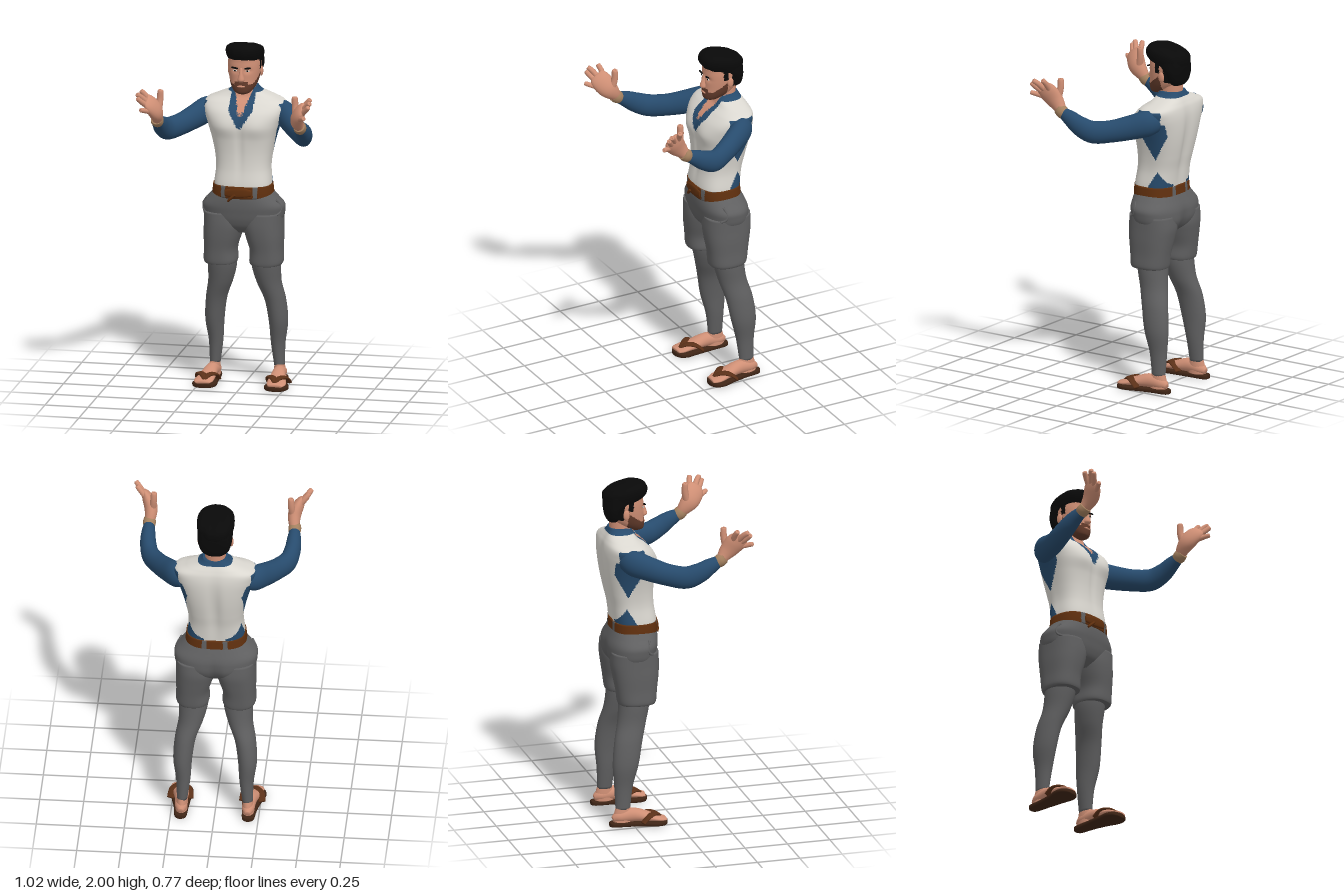
import * as THREE from 'three';

const mat = (name, color) => Object.assign(new THREE.MeshStandardMaterial({ color }), { name });

// Catmull-Rom sample of a list of number rows, t in 0..1
function sampleRows(rows, t) {
  const last = rows.length - 1;
  const i = Math.min(Math.floor(t * last), last - 1), u = t * last - i;
  const row = k => rows[Math.max(0, Math.min(last, k))];
  return row(i).map((b, k) => {
    const a = row(i - 1)[k], c = row(i + 1)[k], d = row(i + 2)[k];
    return b + 0.5 * u * (c - a + u * (2 * a - 5 * b + 4 * c - d + u * (3 * (b - c) + d - a)));
  });
}

// Skin over cross-sections [x, y, z, radiusA, radiusB].
// Without `up` the sections lie flat and the rows must rise in y.
// power: squareness; warp(v): moves points; paint(x, y, z): material index per face
function loft(rows, { n = 24, m = 24, up = null, power = 2, warp = null, paint = null } = {}) {
  const pos = [], tris = [], A = new THREE.Vector3(), B = new THREE.Vector3(), T = new THREE.Vector3();
  const v = new THREE.Vector3();
  const bend = c => Math.sign(c) * Math.abs(c) ** (2 / power);
  for (let i = 0; i <= m; i++) {
    const s = sampleRows(rows, i / m);
    const p = sampleRows(rows, Math.max(0, i / m - 0.01)), q = sampleRows(rows, Math.min(1, i / m + 0.01));
    T.set(q[0] - p[0], q[1] - p[1], q[2] - p[2]).normalize();
    if (up) { A.set(...up).cross(T).normalize(); B.crossVectors(T, A); }
    else { A.set(1, 0, 0); B.set(0, 0, -1); }
    for (let j = 0; j < n; j++) {
      const a = j / n * Math.PI * 2;
      v.set(s[0], s[1], s[2]).addScaledVector(A, s[3] * bend(Math.cos(a))).addScaledVector(B, s[4] * bend(Math.sin(a)));
      if (warp) warp(v);
      pos.push(v.x, v.y, v.z);
    }
  }
  const end = (m + 1) * n;
  pos.push(...rows[0].slice(0, 3), ...rows[rows.length - 1].slice(0, 3));
  for (let j = 0; j < n; j++) {
    const k = (j + 1) % n;
    tris.push([end, k, j], [end + 1, m * n + j, m * n + k]);
    for (let i = 0; i < m; i++) {
      const a = i * n + j, b = i * n + k;
      tris.push([a, b, a + n], [b, b + n, a + n]);
    }
  }
  const geo = new THREE.BufferGeometry();
  geo.setAttribute('position', new THREE.Float32BufferAttribute(pos, 3));
  if (paint) {
    const bins = [];
    for (const t of tris) {
      const mid = k => (pos[t[0] * 3 + k] + pos[t[1] * 3 + k] + pos[t[2] * 3 + k]) / 3;
      (bins[paint(mid(0), mid(1), mid(2))] ??= []).push(...t);
    }
    let start = 0;
    bins.forEach((bin, k) => { geo.addGroup(start, bin.length, k); start += bin.length; });
    geo.setIndex(bins.flat());
  } else geo.setIndex(tris.flat());
  geo.computeVertexNormals();
  return geo;
}

// Flat section from height, centre x, half width, front z and back z
const slab = (y, x, rx, zf, zb) => [x, y, (zf + zb) / 2, rx, (zf - zb) / 2];

function mirrored(geo) {
  const g = geo.clone(), p = g.attributes.position, ix = g.index;
  for (let i = 0; i < p.count; i++) p.setX(i, -p.getX(i));
  for (let i = 0; i < ix.count; i += 3) {
    const a = ix.getX(i);
    ix.setX(i, ix.getX(i + 1));
    ix.setX(i + 1, a);
  }
  g.computeVertexNormals();
  return g;
}

export function createModel() {
  const model = new THREE.Group();
  const white = mat('white vest', 0xdad7d0), blue = mat('blue shirt', 0x274b6d), grey = mat('grey cloth', 0x606061);
  const skin = mat('skin', 0xcf8f75), brown = mat('belt leather', 0x61300e), black = mat('black hair', 0x090909);
  const beard = mat('beard', 0x633b2b), sandal = mat('sandal sole', 0x3f2516), strap = mat('sandal strap', 0x5a3018);
  const tan = mat('tan cuff', 0xa3805f);
  const add = (name, geo, m) => {
    const mesh = new THREE.Mesh(geo, m);
    mesh.name = name;
    model.add(mesh);
  };
  const both = (name, geo, m) => {
    add(name + 'Left', geo, m);
    add(name + 'Right', mirrored(geo), m);
  };
  const ball = (x, y, z, a, b, c) => new THREE.SphereGeometry(1, 20, 14).scale(a, b, c).translate(x, y, z);
  const bump = (d, w) => Math.exp(-((d / w) ** 2));

  // Torso: vest over shirt, open collar, blue side panels
  add('torso', loft([
    slab(1.13, 0, .162, -.076, -.32), slab(1.19, 0, .163, -.074, -.325), slab(1.28, 0, .155, -.087, -.338),
    slab(1.36, 0, .163, -.09, -.357), slab(1.45, 0, .183, -.085, -.375), slab(1.53, 0, .207, -.08, -.385),
    slab(1.6, 0, .23, -.1, -.387), slab(1.65, 0, .229, -.145, -.38), slab(1.681, 0, .165, -.185, -.367),
    slab(1.71, 0, .095, -.198, -.35), slab(1.735, 0, .07, -.205, -.338),
  ], {
    n: 160, m: 150, power: 2.7,
    warp: v => {
      const front = v.z > -.2, ax = Math.abs(v.x);
      if (front) v.z += .012 * bump(ax - .09, .07) * bump(v.y - 1.53, .06) - .008 * bump(v.x, .02) * bump(v.y - 1.42, .16);
      else v.z += .018 * bump(v.x, .035) * bump(v.y - 1.42, .2);
    },
    paint: (x, y, z) => {
      const ax = Math.abs(x);
      if (z > -.25 && ax < .045 * (y - 1.57) / .13) return 2;
      if (y > 1.708) return 1;
      if (z > -.25 && y > 1.51 && ax < .07 * Math.min(1, (y - 1.51) / .11)) return 1;
      if (ax > (y > 1.58 ? .207 : .12) && y < 1.65 && Math.abs(z + .267) < Math.min(.08, .08 * (y - 1.35) / .15)) return 1;
      if (ax > .06 && Math.abs(z + .272) < .055 * (1.28 - y) / .09) return 1;
      return 0;
    },
  }), [white, blue, skin]);

  // Belt with cloth loops, buckle and loose end
  add('belt', loft([slab(1.115, 0, .176, -.068, -.332), slab(1.15, 0, .173, -.066, -.33), slab(1.185, 0, .169, -.068, -.328)], {
    n: 160, m: 6, power: 2.5, paint: (x, y, z) => Math.abs(Math.abs(x) - (z > -.2 ? .092 : .06)) < .013 ? 1 : 0,
  }), [brown, grey]);
  add('buckle', loft([[-.08, 1.147, -.078, .012, .018], [-.03, 1.149, -.072, .012, .028], [.03, 1.152, -.072, .012, .027],
    [.072, 1.15, -.078, .012, .018]], { up: [0, 1, 0], power: 3 }), brown);
  add('beltEnd', loft([[-.02, 1.14, -.066, .008, .014], [-.045, 1.118, -.066, .008, .012], [-.062, 1.1, -.069, .006, .008]],
    { up: [0, 0, 1] }), brown);

  // Shorts
  add('shortsHips', loft([
    slab(.9, 0, .1, -.15, -.29), slab(.935, 0, .18, -.105, -.335), slab(.98, 0, .224, -.084, -.36), slab(1.03, 0, .236, -.074, -.363),
    slab(1.065, 0, .233, -.069, -.357), slab(1.105, 0, .2, -.068, -.342), slab(1.14, 0, .17, -.072, -.328),
  ], {
    n: 64, m: 36, power: 2.4,
    warp: v => { if (v.z < -.25) v.z += .02 * bump(v.x, .03) * bump(v.y - .96, .08); },
  }), grey);
  both('shortsLeg', loft([
    slab(.715, .131, .09, -.105, -.318), slab(.735, .132, .096, -.1, -.324), slab(.8, .132, .094, -.095, -.333),
    slab(.88, .121, .107, -.084, -.347), slab(.95, .112, .115, -.08, -.357), slab(1.02, .115, .112, -.084, -.352),
  ], { n: 40, m: 24, power: 2.4 }), grey);
  both('pocketEdge', loft([[.205, 1.015, -.135, .007, .007], [.221, 1.03, -.158, .007, .007], [.222, 1.06, -.168, .007, .007],
    [.2, 1.1, -.155, .007, .007]], { up: [1, 0, 0], n: 10 }), grey);

  // Legs, ankles and feet
  both('leg', loft([
    slab(.1, .186, .03, -.265, -.35), slab(.23, .18, .041, -.248, -.355), slab(.36, .184, .054, -.215, -.365),
    slab(.49, .17, .06, -.19, -.352), slab(.6, .14, .071, -.16, -.326), slab(.7, .127, .083, -.137, -.315),
    slab(.8, .125, .08, -.125, -.31),
  ], { n: 32, m: 40 }), grey);
  both('ankle', loft([slab(.025, .19, .034, -.25, -.365), slab(.07, .188, .032, -.255, -.36), slab(.125, .186, .027, -.268, -.345)]), skin);
  const foot = { up: [0, 1, 0] };
  both('foot', loft([
    [.19, .042, -.368, .015, .016], [.19, .055, -.33, .035, .034], [.195, .062, -.25, .038, .04], [.203, .047, -.16, .05, .026],
    [.21, .036, -.1, .055, .015], [.208, .031, -.066, .04, .009],
  ], foot), skin);
  both('sandalSole', loft([
    [.192, .014, -.386, .014, .012], [.192, .014, -.365, .034, .014], [.194, .014, -.28, .042, .014], [.2, .014, -.19, .056, .014],
    [.207, .014, -.12, .071, .014], [.206, .014, -.075, .056, .014], [.205, .014, -.056, .022, .012],
  ], { ...foot, power: 4 }), sandal);
  for (const [name, dx] of [['strapOuter', .058], ['strapInner', -.055]]) {
    both(name, loft([[.203, .042, -.09, .011, .009], [.203 + dx * .25, .062, -.125, .02, .01],
      [.203 + dx * .75, .06, -.17, .025, .01], [.203 + dx, .025, -.21, .02, .008]], foot), strap);
  }

  // Sleeves and cuffs
  both('sleeve', loft([
    [.175, 1.585, -.295, .045, .055], [.222, 1.583, -.258, .058, .075], [.28, 1.557, -.172, .057, .07], [.335, 1.535, -.085, .054, .064],
    [.389, 1.528, .005, .05, .065], [.41, 1.556, .08, .046, .058], [.414, 1.59, .14, .04, .047], [.413, 1.615, .192, .03, .034],
  ], { up: [0, 1, 0], n: 32, m: 40 }), blue);
  both('cuff', loft([[.413, 1.609, .182, .032, .034], [.413, 1.622, .203, .037, .038], [.413, 1.637, .224, .032, .034]],
    { up: [0, 1, 0], m: 8 }), tan);

  // Hands, palms turned inward and fingers spread
  both('palm', loft([
    [.413, 1.625, .205, .027, .029], [.407, 1.657, .233, .034, .044], [.41, 1.69, .262, .038, .056],
    [.428, 1.727, .288, .033, .06], [.445, 1.755, .304, .022, .052], [.455, 1.768, .312, .01, .036],
  ], { up: [0, -.6, .8] }), skin);
  const finger = (name, r, ...pts) => both(name, loft(
    [...pts.map((p, i) => [...p, r * (1 - .12 * i), r * (1 - .12 * i)]),
      [...pts.at(-1).map((c, k) => c + .12 * (c - pts.at(-2)[k])), r * .3, r * .3]],
    { up: [.8, -.3, .3], n: 12, m: 14 }), skin);
  finger('thumb', .022, [.4, 1.685, .243], [.392, 1.75, .228], [.389, 1.802, .228]);
  finger('indexFinger', .018, [.432, 1.738, .27], [.465, 1.782, .274], [.488, 1.809, .282]);
  finger('middleFinger', .018, [.438, 1.735, .294], [.477, 1.78, .32], [.498, 1.801, .34]);
  finger('ringFinger', .017, [.437, 1.722, .31], [.475, 1.76, .341], [.494, 1.782, .356]);
  finger('littleFinger', .016, [.428, 1.698, .31], [.455, 1.713, .353], [.472, 1.721, .375]);

  // Neck and head with painted beard and sideburns
  add('neck', loft([slab(1.62, 0, .065, -.17, -.33), slab(1.7, 0, .06, -.2, -.332), slab(1.8, 0, .06, -.2, -.335)]), skin);
  add('head', loft([
    slab(1.708, 0, .024, -.15, -.195), slab(1.72, 0, .048, -.135, -.235), slab(1.75, 0, .07, -.131, -.29),
    slab(1.79, 0, .084, -.134, -.33), slab(1.84, 0, .092, -.135, -.345), slab(1.89, 0, .094, -.138, -.35),
    slab(1.94, 0, .085, -.145, -.345), slab(1.97, 0, .05, -.2, -.3),
  ], {
    n: 120, m: 100, power: 2.2,
    warp: v => { if (v.z > -.2) v.z -= .007 * bump(Math.abs(v.x) - .037, .02) * bump(v.y - 1.847, .014); },
    paint: (x, y, z) => {
      const ax = Math.abs(x);
      if (z < -.27 && y > 1.79) return 2;
      if (z < -.215 && z > -.245 && y > 1.845) return 2;
      const line = ax < .038 && z > -.17 ? 1.785 : 1.768 + .75 * Math.max(0, -.16 - z);
      return y < line && z > -.245 ? 1 : 0;
    },
  }), [skin, beard, black]);
  add('nose', loft([slab(1.784, 0, .013, -.122, -.15), slab(1.797, 0, .02, -.111, -.155), slab(1.83, 0, .012, -.12, -.155),
    slab(1.865, 0, .01, -.134, -.155)]), skin);
  add('lips', ball(0, 1.757, -.132, .024, .006, .006), skin);
  both('ear', ball(.092, 1.825, -.258, .01, .03, .019), skin);
  both('eye', ball(.036, 1.847, -.143, .013, .005, .004), white);
  both('pupil', ball(.036, 1.847, -.14, .005, .005, .002), black);
  both('eyebrow', ball(0, 0, 0, .021, .005, .006).rotateZ(.15).translate(.038, 1.864, -.137), black);

  // Hair: crown sloping down to the back of the head
  add('hairCrown', loft([
    slab(1.9, 0, .095, -.15, -.358), slab(1.92, 0, .102, -.128, -.366), slab(1.947, 0, .107, -.116, -.37),
    slab(1.974, 0, .101, -.118, -.362), slab(1.992, 0, .074, -.135, -.325), slab(1.999, 0, .03, -.155, -.23),
  ], {
    n: 48, m: 30, power: 2.25,
    warp: v => {
      v.y -= .2 * Math.max(0, -.2 - v.z);
      v.z += .003 * Math.sin(v.x * 120) * bump(v.y - 1.94, .05);
    },
  }), black);
  add('hairBack', loft([
    slab(1.775, 0, .05, -.29, -.343), slab(1.8, 0, .078, -.275, -.356), slab(1.85, 0, .095, -.262, -.364),
    slab(1.89, 0, .1, -.205, -.367), slab(1.93, 0, .1, -.18, -.362),
  ], { n: 40, power: 2.3 }), black);

  return model;
}
